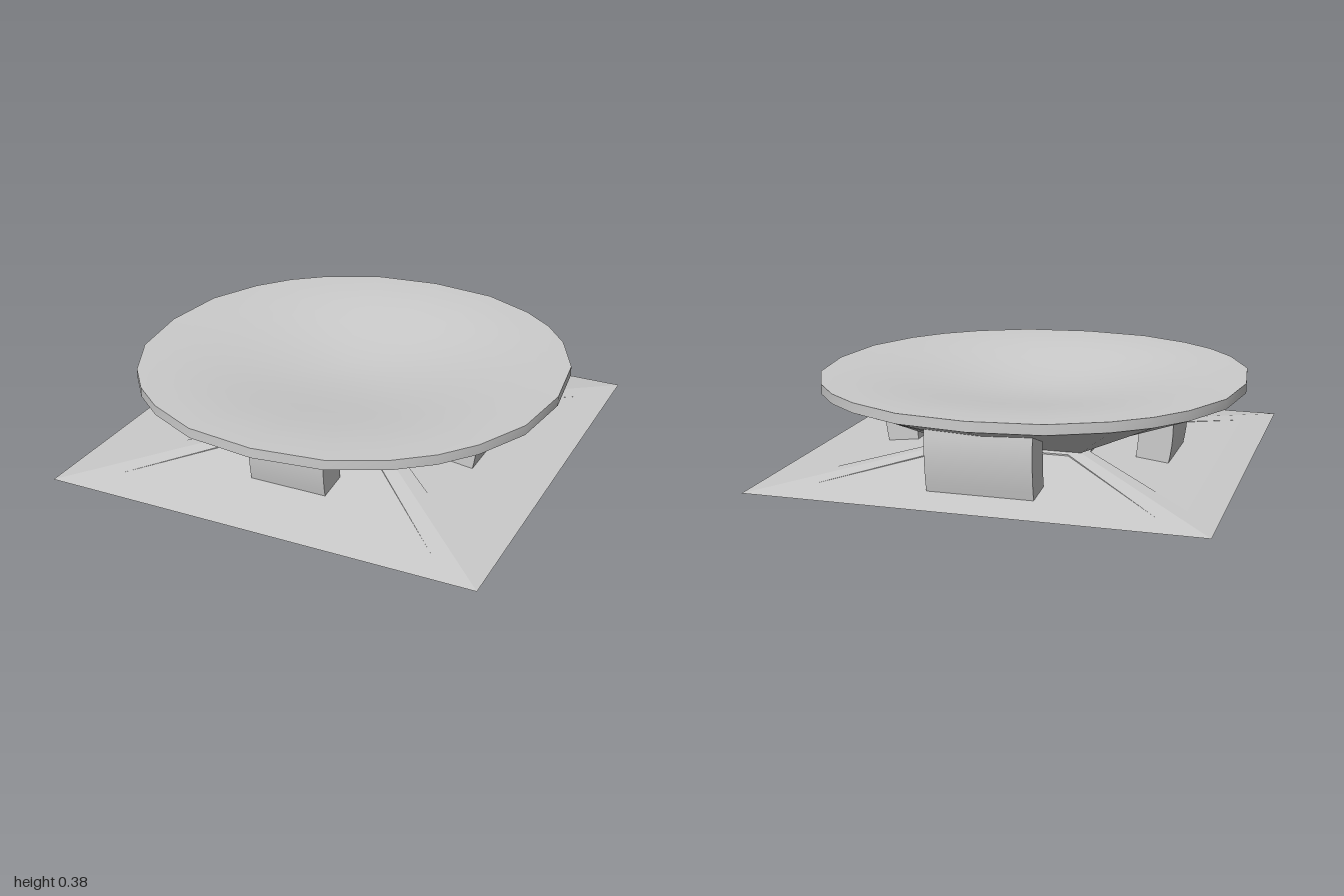
import * as THREE from 'three';
import { toCreasedNormals } from 'three/addons/utils/BufferGeometryUtils.js';

const material = new THREE.MeshStandardMaterial({ color: 0xcccccc, side: THREE.DoubleSide });

function addMesh(parent, name, geometry) {
  const mesh = new THREE.Mesh(geometry, material);
  mesh.name = name;
  parent.add(mesh);
  return mesh;
}

// Flat four-cornered faces, corners counter-clockwise from outside
function quads(faces) {
  const pos = [];
  for (const [a, b, c, d] of faces) pos.push(...a, ...b, ...c, ...a, ...c, ...d);
  const g = new THREE.BufferGeometry();
  g.setAttribute('position', new THREE.Float32BufferAttribute(pos, 3));
  g.computeVertexNormals();
  return g;
}

// Skin between closed rings of [x, y, z], each ring following the one before
function loft(rings, crease) {
  const faces = [];
  const n = rings[0].length;
  for (let r = 0; r < rings.length - 1; r++) {
    for (let i = 0; i < n; i++) {
      const j = (i + 1) % n;
      faces.push([rings[r][i], rings[r][j], rings[r + 1][j], rings[r + 1][i]]);
    }
  }
  return toCreasedNormals(quads(faces), crease);
}

// 24-sided outline of the disc, one quadrant repeated four times
function discOutline() {
  const quadrant = [[0, 0.98], [0.315, 0.94], [0.555, 0.825], [0.705, 0.705], [0.825, 0.555], [0.94, 0.315]];
  const points = [];
  for (let k = 0; k < 4; k++) {
    for (let [x, z] of quadrant) {
      for (let t = 0; t < k; t++) [x, z] = [z, -x];
      points.push([x, z]);
    }
  }
  return points;
}

// One sloping side of the base; its panel sinks slightly towards the middle
function baseSide() {
  const at = (x, z, drop = 0) => [x, 0.09 * (1 - z) / 0.7 - drop, z];
  const outline = [[-1, 1], [1, 1], [0.3, 0.3], [-0.3, 0.3]].map(([x, z]) => at(x, z));
  const corners = [[-0.75, 0.86], [0.75, 0.86], [0.25, 0.33], [-0.25, 0.33]];
  const rim = corners.map(([x, z]) => at(x, z));
  const panel = corners.map(([x, z], i) => at(x, z, i < 2 ? 0 : 0.006));
  const faces = [panel];
  for (let i = 0; i < 4; i++) {
    const j = (i + 1) % 4;
    faces.push([outline[i], outline[j], rim[j], rim[i]]);
    if (i > 0) faces.push([rim[i], rim[j], panel[j], panel[i]]);
  }
  return quads(faces);
}

// Bowed block: a curved profile extruded across its width
function supportBlock(inner, width) {
  const s = new THREE.Shape();
  s.moveTo(inner, 0.02);
  s.lineTo(inner + 0.15, 0.02);
  s.quadraticCurveTo(inner + 0.185, 0.17, inner + 0.165, 0.3);
  s.lineTo(inner + 0.015, 0.3);
  s.quadraticCurveTo(inner + 0.025, 0.17, inner, 0.02);
  const g = new THREE.ExtrudeGeometry(s, { depth: width, bevelEnabled: false, curveSegments: 6 });
  g.translate(0, 0, -width / 2);
  g.rotateY(-Math.PI / 2); // profile now runs outward along +z
  return toCreasedNormals(g, 0.5);
}

export function createModel() {
  const model = new THREE.Group();
  model.name = 'discOnSquareBase';

  // Square base
  const base = new THREE.Group();
  base.name = 'base';
  model.add(base);
  const sideGeometry = baseSide();
  for (let k = 0; k < 4; k++) addMesh(base, 'baseSide', sideGeometry).rotation.y = k * Math.PI / 2;
  addMesh(base, 'baseBottom', quads([[[-1, 0, -1], [1, 0, -1], [1, 0, 1], [-1, 0, 1]]]));

  // Underside flaring from a square foot, turned by one step, to the round disc
  const outline = discOutline();
  const ring = (y, scale = 1) => outline.map(([x, z]) => [x * scale, y, z * scale]);
  const foot = outline.map((_, i) => {
    const [x, z] = outline[(i + 1) % outline.length];
    const s = 0.3 / Math.max(Math.abs(x), Math.abs(z));
    return [x * s, 0.09, z * s];
  });
  addMesh(model, 'flaredUnderside', loft([foot, ring(0.34)], 0.6));

  // Rim and gently dished top of the disc
  addMesh(model, 'discRim', loft([ring(0.34), ring(0.385)], 0.6));
  const dish = [];
  for (let i = 0; i <= 8; i++) {
    const r = 1 - i / 8;
    dish.push(ring(0.385 - 0.045 * (1 + Math.cos(Math.PI * r)), r));
  }
  addMesh(model, 'dishedTop', loft(dish, 0.6));

  // Four supports, counter-clockwise from the front; the back one is wider and further out
  const supports = [['front', 0.517, 0.36], ['left', 0.51, 0.36], ['back', 0.665, 0.47], ['right', 0.517, 0.36]];
  supports.forEach(([side, inner, width], k) => {
    addMesh(model, side + 'Support', supportBlock(inner, width)).rotation.y = k * Math.PI / 2;
  });

  return model;
}
